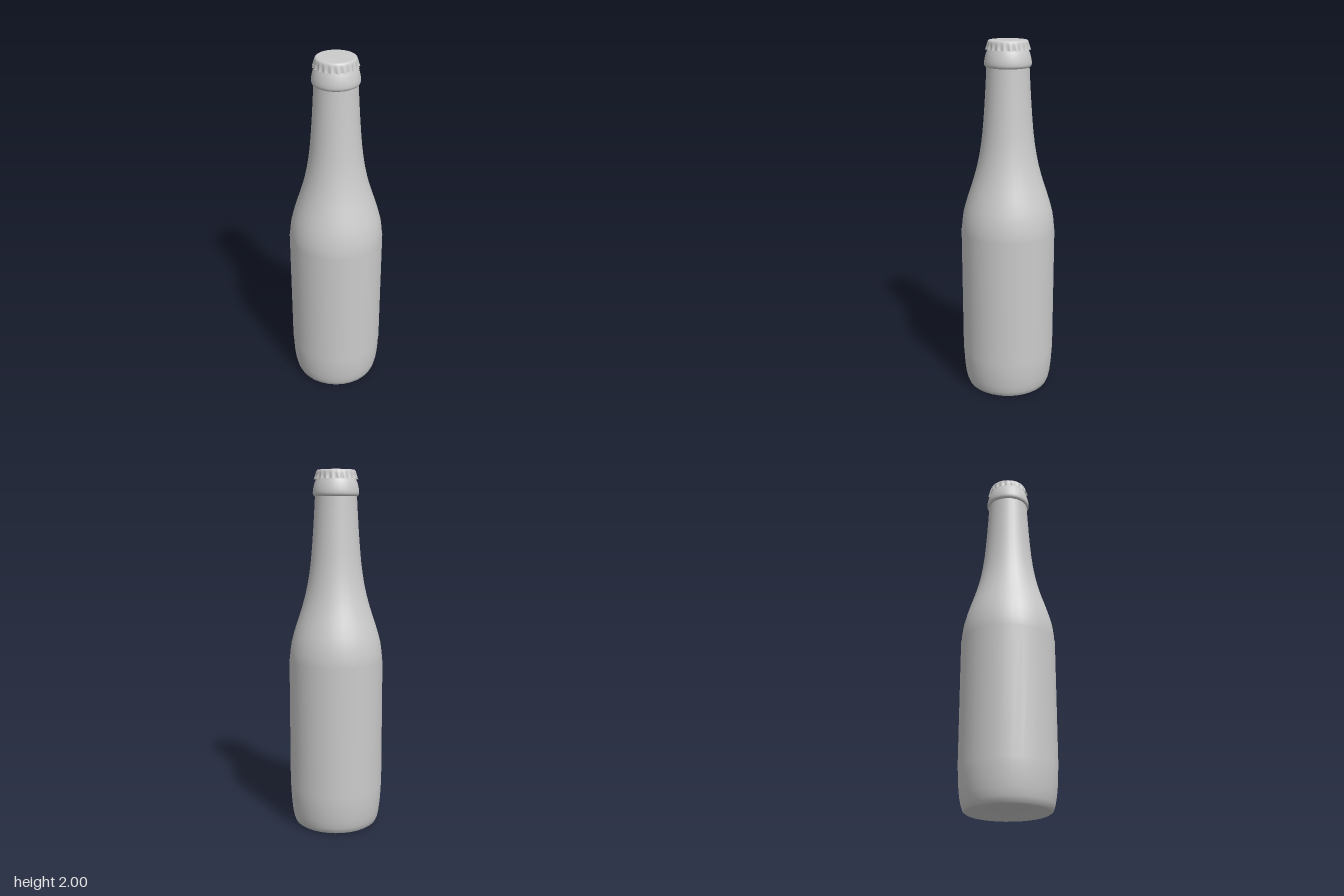
import * as THREE from 'three';

const SIDES = 32;
const TEETH = 21;
const material = new THREE.MeshStandardMaterial({ color: 0xcccccc, side: THREE.DoubleSide });

const toPoints = (list) => list.map(([r, y]) => new THREE.Vector2(r, y));

function part(name, geometry) {
  const mesh = new THREE.Mesh(geometry, material);
  mesh.name = name;
  return mesh;
}

// Crown cap: a lathe whose skirt is crimped into teeth
function crownCap() {
  const profile = toPoints([
    [0.117, 1.948], [0.115, 1.957], [0.113, 1.967], [0.111, 1.978],
    [0.109, 1.988], [0.106, 1.995], [0.1, 1.999], [0.094, 2], [0, 2],
  ]);
  const geometry = new THREE.LatheGeometry(profile, TEETH * 8);
  const pos = geometry.attributes.position;
  for (let i = 0; i < pos.count; i++) {
    const x = pos.getX(i), y = pos.getY(i), z = pos.getZ(i);
    const fade = THREE.MathUtils.clamp((1.99 - y) / 0.042, 0, 1);
    const wave = Math.cos(Math.atan2(x, z) * TEETH);
    const scale = 1 + 0.045 * fade * wave;
    pos.setXYZ(i, x * scale, y + 0.006 * fade * fade * (1 - wave) * 0.5, z * scale);
  }
  geometry.computeVertexNormals();
  return geometry;
}

export function createModel() {
  const bottle = new THREE.Group();
  bottle.name = 'bottle';

  // Glass: hollowed base, straight body, sloping shoulder and slim neck
  const glass = toPoints([
    [0, 0.035], [0.08, 0.03], [0.15, 0.016], [0.2, 0.004], [0.222, 0], [0.234, 0.008],
    [0.244, 0.035], [0.252, 0.075], [0.258, 0.13], [0.261, 0.18], [0.262, 0.22],
    [0.262, 0.95], [0.258, 1.0], [0.25, 1.055], [0.237, 1.105], [0.22, 1.16],
    [0.203, 1.21], [0.186, 1.265], [0.171, 1.32], [0.158, 1.38], [0.148, 1.44],
    [0.139, 1.51], [0.132, 1.59], [0.126, 1.67], [0.121, 1.75], [0.117, 1.82], [0.115, 1.865],
  ]);
  bottle.add(part('glassBody', new THREE.LatheGeometry(glass, SIDES)));

  // Thickened finish around the mouth
  const lip = toPoints([
    [0.115, 1.858], [0.122, 1.862], [0.126, 1.869], [0.127, 1.878], [0.126, 1.892],
    [0.123, 1.908], [0.118, 1.928], [0.112, 1.943], [0.107, 1.955], [0.105, 1.97],
  ]);
  bottle.add(part('neckFinish', new THREE.LatheGeometry(lip, SIDES)));

  // Plain wrap around the straight part of the body
  const wrap = new THREE.CylinderGeometry(0.264, 0.264, 0.73, SIDES, 1, true);
  wrap.translate(0, 0.585, 0);
  bottle.add(part('labelBand', wrap));

  bottle.add(part('crownCap', crownCap()));
  return bottle;
}
